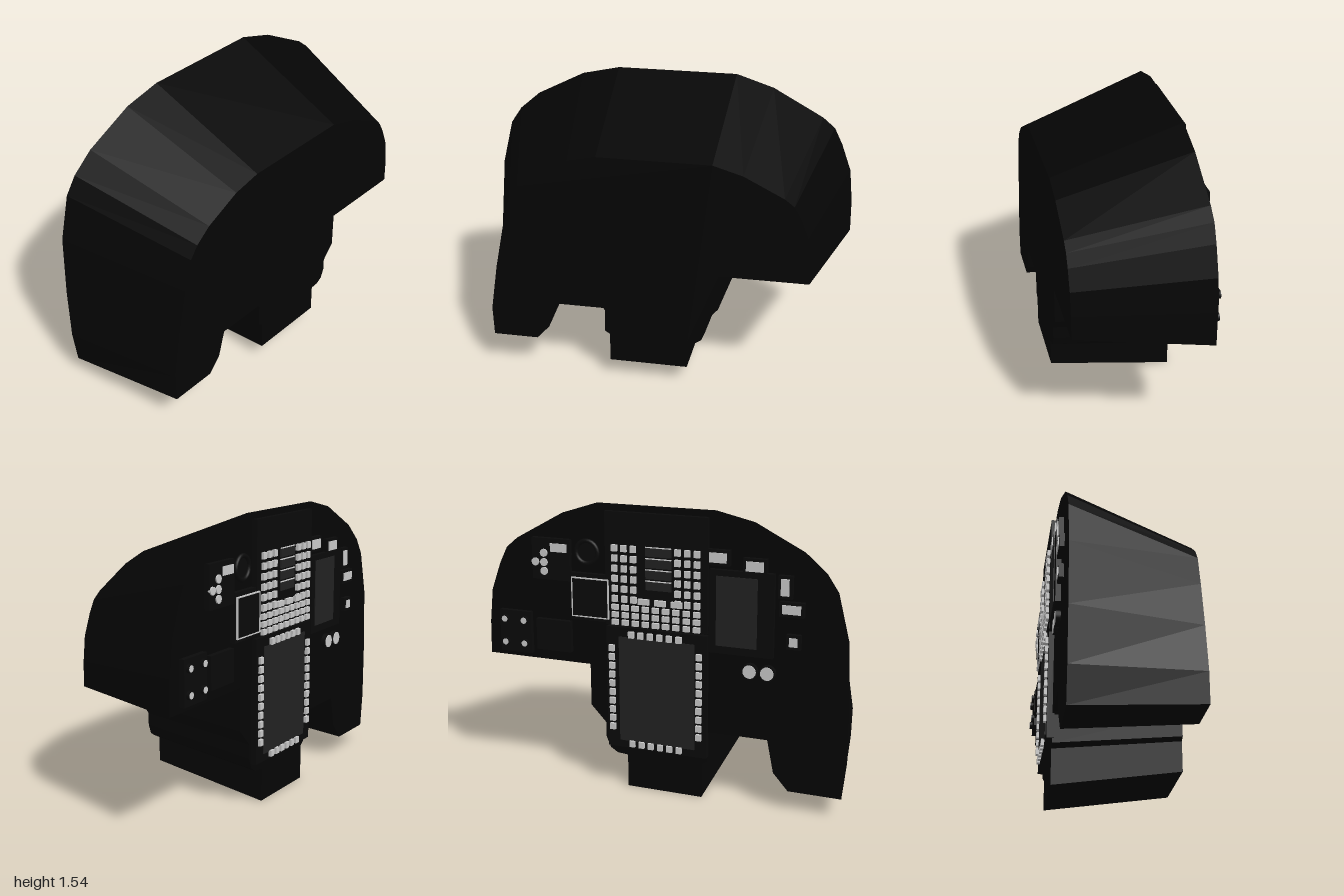
import * as THREE from 'three';

const BACK = -0.31, DEPTH = 0.665, PLATE = -0.338;
const paint = (color) => new THREE.MeshStandardMaterial({ color });
const black = paint(0x050505), dark = paint(0x0a0a0a), glass = paint(0x222222), light = paint(0xcccccc);

export function createModel() {
  const model = new THREE.Group();
  model.name = 'instrumentPanel';

  const add = (name, geometry, material, x, y, z) => {
    const mesh = new THREE.Mesh(geometry, material);
    mesh.name = name;
    mesh.position.set(x, y, z);
    model.add(mesh);
    return mesh;
  };
  // Box between two depths, centred on x, y
  const box = (name, material, x, y, w, h, z0, z1) =>
    add(name, new THREE.BoxGeometry(w, h, z0 - z1), material, x, y, (z0 + z1) / 2);
  // Box given by its edges
  const panel = (name, material, x0, x1, y0, y1, z0 = BACK + 0.01, z1 = PLATE) =>
    box(name, material, (x0 + x1) / 2, (y0 + y1) / 2, x1 - x0, y1 - y0, z0, z1);
  // Round part whose axis runs along z
  const disc = (name, material, x, y, r, z0, z1) => {
    const g = new THREE.CylinderGeometry(r, r, z0 - z1, 16).rotateX(Math.PI / 2);
    return add(name, g, material, x, y, (z0 + z1) / 2);
  };
  const key = (name, x, y, w = 0.03, h = 0.034) => box(name, light, x, y, w, h, PLATE + 0.01, -0.354);

  // Housing: extruded outline whose front end is drawn in
  const outline = [
    [-0.98, 0.11], [-0.7, 0.11], [-0.62, 0.2], [-0.585, 0.375], [-0.27, 0.375], [-0.26, 0.36],
    [-0.26, 0.21], [-0.23, 0.19], [-0.23, 0], [0.19, 0], [0.19, 0.18], [0.25, 0.185],
    [0.29, 0.21], [0.315, 0.27], [0.315, 0.35], [0.4, 0.44], [0.4, 0.67], [1, 0.67],
    [0.995, 0.85], [0.975, 1.03], [0.92, 1.18], [0.875, 1.27], [0.81, 1.325], [0.54, 1.475],
    [0.34, 1.54], [-0.3, 1.54], [-0.5, 1.495], [-0.755, 1.365], [-0.865, 1.27], [-0.925, 1.18],
    [-0.985, 0.94], [-1, 0.6], [-1, 0.3],
  ].map(([x, y]) => new THREE.Vector2(x, y));
  const housing = new THREE.ExtrudeGeometry(new THREE.Shape(outline), { depth: DEPTH, bevelEnabled: false });
  const p = housing.attributes.position;
  for (let i = 0; i < p.count; i++) {
    if (p.getZ(i) < DEPTH / 2) continue;
    const x = p.getX(i), y = p.getY(i);
    const leftTaper = THREE.MathUtils.lerp(0.867, 0.74, THREE.MathUtils.clamp((y - 0.2) / 0.7, 0, 1));
    const fx = x < -0.23 ? -0.23 + (x + 0.23) * leftTaper : x > 0.19 ? 0.19 + (x - 0.19) * 0.77 : x;
    const fy = y <= 0.67 ? 0.1 + 0.86 * y : 0.676 + (y - 0.67) * 0.711;
    p.setXY(i, fx, fy);
  }
  housing.translate(0, 0, BACK);
  housing.computeVertexNormals();
  add('housing', housing, black, 0, 0, 0);

  // Raised backing plates
  panel('lowerCentrePlate', dark, -0.265, 0.29, 0.235, 0.9);
  panel('upperCentrePlate', dark, -0.265, 0.29, 0.91, 1.505);
  panel('rightScreenPlate', dark, -0.61, -0.275, 0.82, 1.25);
  panel('leftScreenPlate', dark, 0.3, 0.49, 0.92, 1.17);
  panel('leftSwitchPlate', dark, 0.495, 0.71, 1.12, 1.34);
  panel('leftLowerPlate', dark, 0.5, 0.7, 0.73, 0.9);
  panel('knobPlate', dark, 0.735, 0.92, 0.7, 0.93);

  // Large central screen with keys on all four sides
  panel('centreScreen', glass, -0.2, 0.22, 0.275, 0.85, PLATE, PLATE - 0.004);
  for (let i = 0; i < 10; i++) {
    const y = 0.35 + i * 0.0485;
    for (const x of [-0.225, 0.258]) key('screenSideKey', x, y);
  }
  for (let i = 0; i < 6; i++) {
    const x = -0.115 + i * 0.0525;
    key('screenTopKey', x, 0.867);
    key('screenBottomKey', x, 0.262);
  }

  // Keypad: side columns, lower block, middle readouts
  for (let row = 0; row < 6; row++) {
    const y = 1.32 - row * 0.053;
    for (let col = 0; col < 3; col++) {
      key('keypadLeftKey', 0.235 - col * 0.052, y);
      key('keypadRightKey', -0.11 - col * 0.052, y);
    }
  }
  for (let row = 0; row < 3; row++)
    for (let col = 0; col < 9; col++) key('keypadLowerKey', 0.235 - col * 0.056, 1.01 - row * 0.04, 0.036, 0.028);
  for (let i = 0; i < 3; i++) key('keypadWideKey', 0.075 - i * 0.09, 1.05, 0.06, 0.03);
  for (let i = 0; i < 4; i++) {
    const y = 1.31 - i * 0.058;
    box('readout', glass, -0.005, y, 0.14, 0.044, PLATE, -0.345);
    box('readoutTrim', light, -0.005, y + 0.025, 0.14, 0.004, PLATE, -0.347);
  }

  // Right-hand screen, indicator lamps and dials
  panel('rightScreen', glass, -0.527, -0.313, 0.86, 1.22, PLATE, PLATE - 0.004);
  const lamps = [
    [-0.32, 1.31, 0.09, 0.05], [-0.51, 1.28, 0.09, 0.05], [-0.665, 1.19, 0.042, 0.085],
    [-0.7, 1.08, 0.095, 0.045], [-0.713, 0.916, 0.042, 0.045], [0.555, 1.293, 0.095, 0.045],
  ];
  for (const [x, y, w, h] of lamps) {
    box('lampMount', dark, x, y, w + 0.03, h + 0.03, BACK + 0.01, PLATE + 0.002);
    box('lamp', light, x, y, w, h, PLATE + 0.01, PLATE - 0.004);
  }
  for (const x of [-0.49, -0.582]) {
    disc('dialRim', dark, x, 0.738, 0.042, BACK + 0.01, PLATE + 0.004);
    disc('dial', light, x, 0.738, 0.035, BACK, PLATE);
  }

  // Left-hand screen with thin bright frame
  panel('leftScreen', dark, 0.275, 0.48, 0.94, 1.145, PLATE, -0.345);
  for (const x of [0.275, 0.48]) box('screenFrameSide', light, x, 1.0425, 0.006, 0.211, PLATE, -0.348);
  for (const y of [0.94, 1.145]) box('screenFrameEdge', light, 0.3775, y, 0.205, 0.006, PLATE, -0.348);

  // Round gauge
  add('gaugeRim', new THREE.TorusGeometry(0.06, 0.012, 8, 24), dark, 0.4, 1.28, BACK - 0.012);
  disc('gaugeFace', dark, 0.4, 1.28, 0.055, BACK + 0.01, BACK - 0.01);

  // Small round switches
  for (const [x, y] of [[0.69, 1.212], [0.64, 1.262], [0.64, 1.212], [0.64, 1.165]])
    disc('roundSwitch', light, x, y, 0.021, PLATE + 0.01, -0.346);

  // Four knobs with bright caps
  for (const x of [0.77, 0.885])
    for (const y of [0.755, 0.883]) {
      disc('knob', dark, x, y, 0.022, PLATE + 0.01, -0.353);
      disc('knobCap', light, x, y, 0.017, -0.35, -0.355);
    }

  return model;
}
